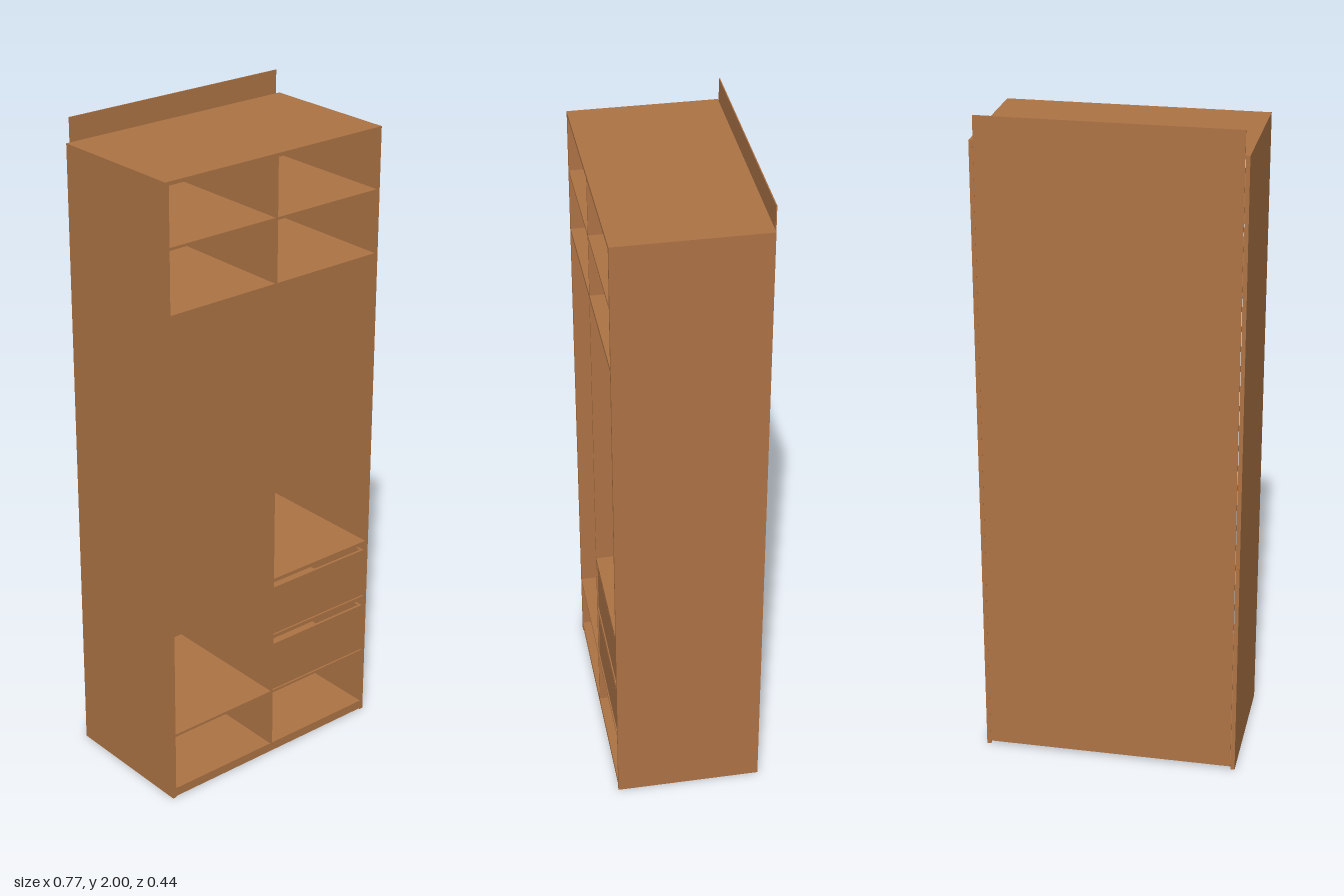
import * as THREE from 'three';

export function createModel() {
  const wardrobe = new THREE.Group();
  wardrobe.name = 'wardrobe';
  const wood = new THREE.MeshStandardMaterial({ color: 0xad7345 });
  wood.name = 'warm brown wood';

  // Box given by its minimum and maximum corners
  function panel(name, [x0, y0, z0], [x1, y1, z1], parent = wardrobe) {
    const mesh = new THREE.Mesh(new THREE.BoxGeometry(x1 - x0, y1 - y0, z1 - z0), wood);
    mesh.position.set((x0 + x1) / 2, (y0 + y1) / 2, (z0 + z1) / 2);
    mesh.name = name;
    parent.add(mesh);
  }

  const W = 0.387, IN = 0.375, DIV = 0.004, F = 0.22, B = -0.217, TOP = 1.918;

  // Carcass
  panel('leftSide', [IN, 0, B], [W, TOP, F]);
  panel('rightSide', [-W, 0, B], [-IN, TOP, F]);
  panel('topPanel', [-W, TOP, B], [W, 1.929, F]);
  panel('backPanel', [-0.374, 0.012, -0.22], [0.374, 2, B]);
  panel('bottomPanel', [-IN, 0.02, B], [IN, 0.032, F]);
  panel('plinth', [-IN, 0.002, F - 0.012], [IN, 0.02, F - 0.002]);
  panel('divider', [-DIV, 0.032, B], [DIV, TOP, F]);

  // Shelves on both sides of the divider
  for (const [y0, y1] of [[0.214, 0.222], [1.541, 1.553], [1.738, 1.746]]) {
    panel('rightShelf', [-IN, y0, B], [-DIV, y1, F]);
    panel('leftShelf', [DIV, y0, B], [IN, y1, F]);
  }

  // Shelves above the drawers
  for (const [y0, y1] of [[0.406, 0.418], [0.6, 0.612]]) {
    panel('drawerShelf', [DIV, y0, B], [IN, y1, F]);
  }

  // Open-topped drawers
  for (const [y0, y1] of [[0.224, 0.384], [0.42, 0.58]]) {
    const drawer = new THREE.Group();
    drawer.name = 'drawer';
    const x0 = 0.007, x1 = 0.372, t = 0.008, zb = B + 0.01, zf = F - 0.003;
    panel('drawerFront', [x0, y0, zf - t], [x1, y1, zf], drawer);
    panel('drawerBack', [x0, y0, zb], [x1, y1, zb + t], drawer);
    panel('drawerRightWall', [x0, y0, zb + t], [x0 + t, y1, zf - t], drawer);
    panel('drawerLeftWall', [x1 - t, y0, zb + t], [x1, y1, zf - t], drawer);
    panel('drawerBottom', [x0 + t, y0, zb + t], [x1 - t, y0 + 0.005, zf - t], drawer);
    wardrobe.add(drawer);
  }

  // Hanging rails with end collars
  function bar(name, radius, x0, x1) {
    const geometry = new THREE.CylinderGeometry(radius, radius, x1 - x0, 24);
    const mesh = new THREE.Mesh(geometry.rotateZ(Math.PI / 2), wood);
    mesh.position.set((x0 + x1) / 2, 1.452, 0);
    mesh.name = name;
    wardrobe.add(mesh);
  }
  for (const [x0, x1] of [[-IN, -DIV], [DIV, IN]]) {
    bar('hangingRail', 0.009, x0, x1);
    bar('railCollar', 0.015, x0, x0 + 0.005);
    bar('railCollar', 0.015, x1 - 0.005, x1);
  }
  return wardrobe;
}
